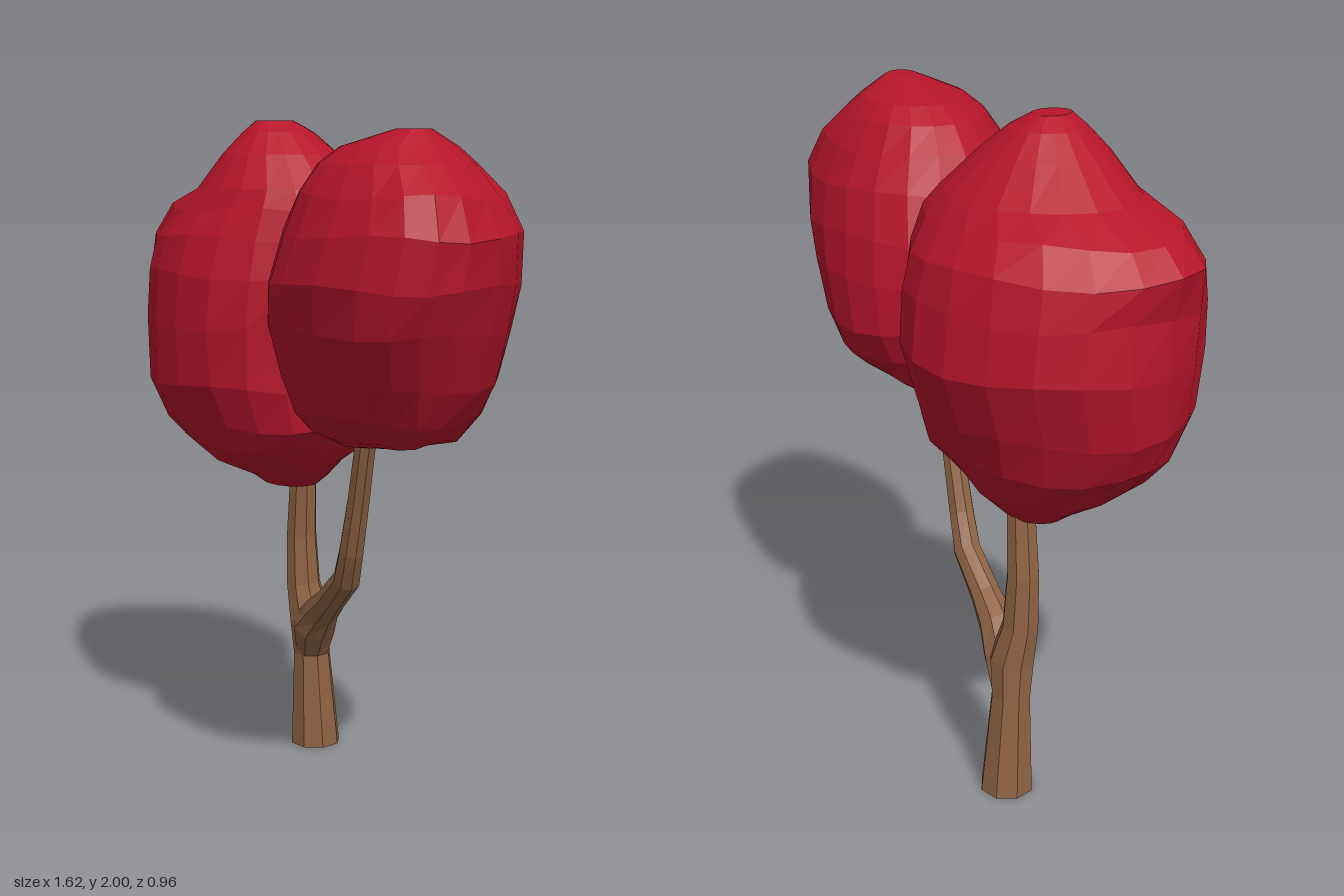
import * as THREE from 'three';

const bark = new THREE.MeshStandardMaterial({ color: 0x8f6344, flatShading: true });
const leaves = new THREE.MeshStandardMaterial({ color: 0xb6152a, flatShading: true });

// Skin over a stack of closed rings, bottom to top, capped at both ends
function loft(rings) {
  const n = rings[0].length, pos = [], idx = [];
  rings.forEach(r => r.forEach(p => pos.push(p.x, p.y, p.z)));
  for (let i = 0; i < rings.length - 1; i++) {
    for (let j = 0; j < n; j++) {
      const a = i * n + j, b = i * n + (j + 1) % n;
      idx.push(a, a + n, b, b, a + n, b + n);
    }
  }
  [0, rings.length - 1].forEach((row, end) => {
    const c = rings[row].reduce((s, p) => s.add(p), new THREE.Vector3()).divideScalar(n);
    const k = pos.length / 3;
    pos.push(c.x, c.y, c.z);
    for (let j = 0; j < n; j++) {
      const a = row * n + j, b = row * n + (j + 1) % n;
      if (end) idx.push(k, b, a); else idx.push(k, a, b);
    }
  });
  const g = new THREE.BufferGeometry();
  g.setAttribute('position', new THREE.Float32BufferAttribute(pos, 3));
  g.setIndex(idx);
  g.computeVertexNormals();
  return g;
}

// Tapered limb through [x, y, z, radius] stations
function limb(name, stations, sides = 8) {
  const pts = stations.map(s => new THREE.Vector3(s[0], s[1], s[2]));
  const rings = pts.map((p, i) => {
    const t = pts[Math.min(i + 1, pts.length - 1)].clone().sub(pts[Math.max(i - 1, 0)]).normalize();
    if (i === 0) t.set(0, 1, 0);
    const u = new THREE.Vector3(1, 0, 0).addScaledVector(t, -t.x).normalize();
    const v = u.clone().cross(t);
    return Array.from({ length: sides }, (_, j) => {
      const a = (j + 0.5) / sides * Math.PI * 2, r = stations[i][3];
      return p.clone().addScaledVector(u, r * Math.cos(a)).addScaledVector(v, r * Math.sin(a));
    });
  });
  const m = new THREE.Mesh(loft(rings), bark);
  m.name = name;
  return m;
}

// Lumpy crown from [y, left, right, back, front, lobe] outlines. The pairs run bottom to top:
// shear slides the front of a ring toward +x, box squares off its front half.
// lobe pushes out a bump on the -x side
function crown(name, outlines, { shear = [0, 0], box = [1, 1], seed }, sides = 20) {
  const rings = outlines.map(([y, l, r, b, f, lobe = 0], i) => {
    const h = i / (outlines.length - 1);
    const cx = (l + r) / 2, cz = (b + f) / 2, rx = (r - l) / 2, rz = (f - b) / 2;
    const s = THREE.MathUtils.lerp(...shear, h) * rz, ex = Math.sqrt(Math.max(rx * rx - s * s, rx * rx * 0.2));
    const power = THREE.MathUtils.lerp(...box, h);
    const wobble = i > 1 && h < 0.75 ? 1 : 0;
    return Array.from({ length: sides }, (_, j) => {
      const a = j / sides * Math.PI * 2, e = Math.sin(a) > 0 ? power : 1;
      const c = Math.sign(Math.cos(a)) * Math.abs(Math.cos(a)) ** e;
      const d = Math.sign(Math.sin(a)) * Math.abs(Math.sin(a)) ** e;
      const k = 1 + wobble * (0.012 * Math.sin(3 * a + y * 7 + seed) + 0.01 * Math.sin(5 * a - y * 9 + seed * 2));
      const dy = wobble * 0.01 * Math.sin(4 * a + i * 1.7 + seed);
      return new THREE.Vector3(
        cx + (ex * c + s * d) * k - lobe * Math.max(0, -c) ** 3, y + dy, cz + rz * d * k);
    });
  });
  const m = new THREE.Mesh(loft(rings), leaves);
  m.name = name;
  return m;
}

export function createModel() {
  const tree = new THREE.Group();
  tree.name = 'tree';

  // Trunk and the side branch swelling out of it at the fork
  tree.add(limb('trunk', [
    [-0.315, 0, -0.185, 0.081], [-0.315, 0.31, -0.17, 0.06], [-0.308, 0.42, -0.16, 0.068],
    [-0.332, 0.54, -0.15, 0.055], [-0.337, 0.7, -0.147, 0.049], [-0.32, 0.88, -0.14, 0.044],
    [-0.32, 1.0, -0.13, 0.04],
  ]));
  tree.add(limb('sideBranch', [
    [-0.312, 0.3, -0.17, 0.052], [-0.265, 0.415, -0.14, 0.07], [-0.2, 0.48, -0.115, 0.056],
    [-0.12, 0.535, -0.085, 0.046], [-0.005, 0.63, -0.05, 0.043], [0.045, 0.73, -0.025, 0.039],
    [0.1, 0.9, -0.005, 0.035], [0.155, 1.08, 0.018, 0.033], [0.19, 1.2, 0.03, 0.03],
  ]));

  // Large crown on the trunk, with a shoulder on one side
  tree.add(crown('largeCrown', [
    [0.88, -0.42, -0.23, -0.17, -0.02],
    [0.91, -0.46, -0.19, -0.2, 0.02],
    [0.97, -0.55, -0.11, -0.26, 0.14],
    [1.03, -0.63, -0.03, -0.31, 0.22],
    [1.1, -0.71, 0.04, -0.36, 0.26],
    [1.22, -0.76, 0.05, -0.41, 0.31],
    [1.4, -0.78, 0.06, -0.475, 0.32],
    [1.55, -0.78, 0.07, -0.45, 0.31],
    [1.66, -0.75, 0.06, -0.42, 0.28, 0.055],
    [1.74, -0.68, 0.04, -0.36, 0.24, 0.055],
    [1.8, -0.56, 0.0, -0.3, 0.21, 0.02],
    [1.9, -0.46, -0.1, -0.2, 0.15],
    [1.965, -0.39, -0.18, -0.13, 0.09],
    [2.0, -0.34, -0.24, -0.07, 0.05],
  ], { box: [0.92, 1], seed: 1 }));

  // Small crown leaning out over the side branch
  tree.add(crown('smallCrown', [
    [1.07, 0.08, 0.17, -0.02, 0.06],
    [1.1, 0.04, 0.38, -0.07, 0.13],
    [1.13, 0.03, 0.53, -0.1, 0.2],
    [1.2, 0.025, 0.61, -0.17, 0.3],
    [1.3, 0.015, 0.67, -0.215, 0.37],
    [1.45, 0.02, 0.74, -0.22, 0.45],
    [1.57, 0.03, 0.79, -0.205, 0.475],
    [1.7, 0.07, 0.81, -0.17, 0.455],
    [1.8, 0.12, 0.765, -0.12, 0.42],
    [1.88, 0.18, 0.68, -0.07, 0.37],
    [1.925, 0.25, 0.62, -0.02, 0.32],
    [1.97, 0.46, 0.57, 0.12, 0.23],
  ], { shear: [0.08, 0.27], box: [0.6, 0.95], seed: 4 }));

  return tree;
}
